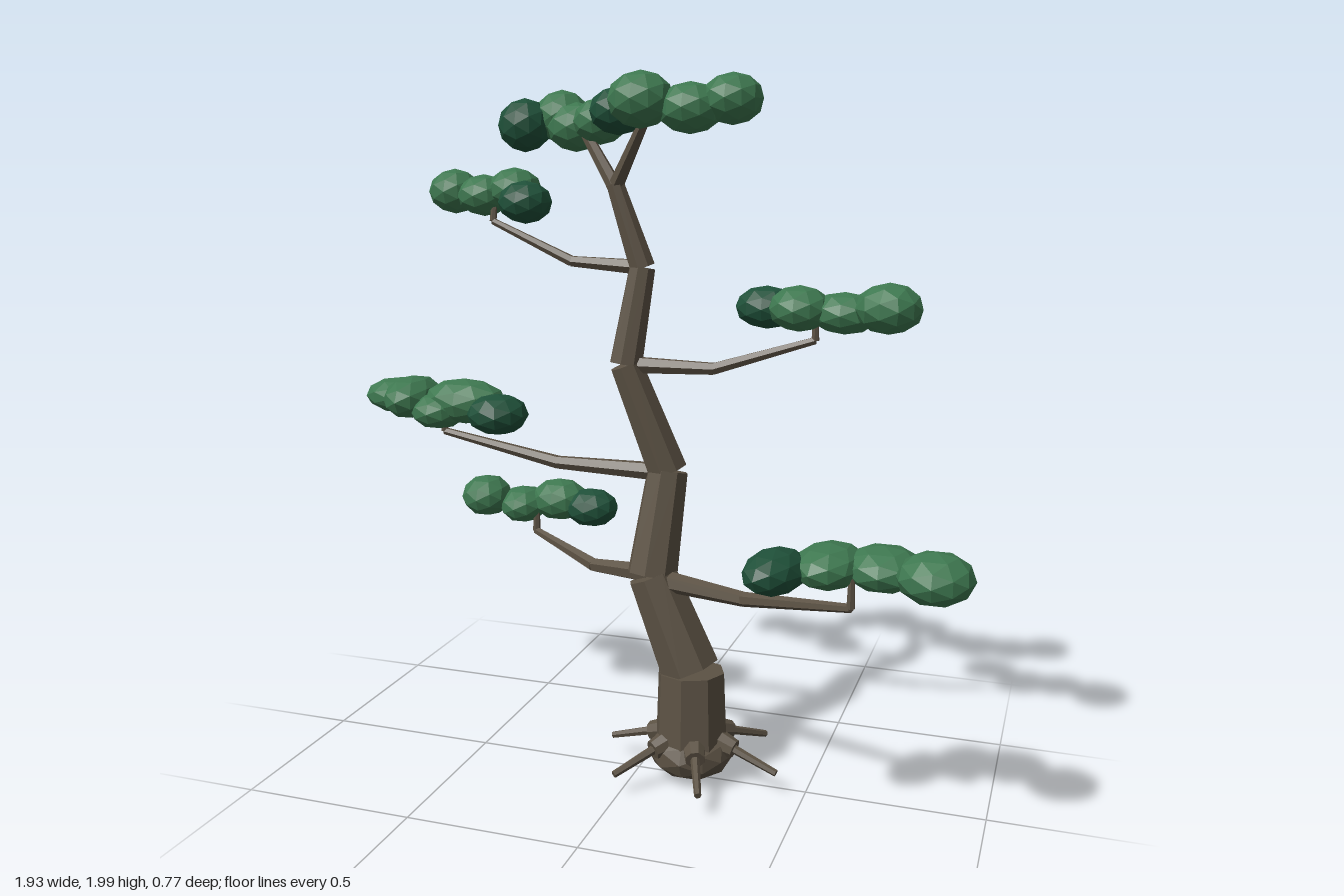
import * as THREE from 'three';

const flat = (name, color) => {
  const m = new THREE.MeshStandardMaterial({ color, flatShading: true });
  m.name = name;
  return m;
};

export function createModel() {
  const bark = flat('bark', 0x5c5244);
  const leaf = flat('leaf green', 0x3e7850);
  const darkLeaf = flat('dark leaf green', 0x1f5039);
  const tree = new THREE.Group();
  tree.name = 'tree';

  // Closed tapered cylinder between two points
  const limb = (parent, name, a, b, r0, r1, sides = 6) => {
    const p = new THREE.Vector3(...a), q = new THREE.Vector3(...b);
    const dir = q.clone().sub(p);
    const mesh = new THREE.Mesh(new THREE.CylinderGeometry(r1, r0, dir.length(), sides), bark);
    mesh.position.copy(p).add(q).multiplyScalar(0.5);
    mesh.quaternion.setFromUnitVectors(new THREE.Vector3(0, 1, 0), dir.normalize());
    mesh.name = name;
    parent.add(mesh);
  };

  // Chain of limbs through [x, y, z, radius] points
  const chain = (name, pts, sides) => {
    const g = new THREE.Group();
    g.name = name;
    for (let i = 0; i < pts.length - 1; i++) {
      limb(g, name + 'Segment', pts[i].slice(0, 3), pts[i + 1].slice(0, 3), pts[i][3], pts[i + 1][3], sides);
    }
    tree.add(g);
  };

  // Faceted, squashed ball
  const blob = (parent, name, material, [x, y, z, rx, ry, rz, yaw = 0]) => {
    const mesh = new THREE.Mesh(new THREE.IcosahedronGeometry(1, 1), material);
    mesh.position.set(x, y, z);
    mesh.scale.set(rx, ry, rz);
    mesh.rotation.y = yaw;
    mesh.name = name;
    parent.add(mesh);
  };

  // Trunk
  limb(tree, 'trunkBase', [0.16, 0.06, 0], [0.155, 0.325, -0.01], 0.108, 0.098, 8);
  chain('trunk', [
    [0.15, 0.33, -0.012, 0.09], [0.035, 0.6, -0.015, 0.074], [0.06, 0.895, -0.075, 0.06],
    [-0.055, 1.2, -0.045, 0.048], [-0.02, 1.47, -0.085, 0.038], [-0.095, 1.7, -0.07, 0.026],
  ], 8);
  chain('leftFork', [[-0.095, 1.69, -0.07, 0.022], [-0.21, 1.85, -0.125, 0.015]]);
  chain('rightFork', [[-0.095, 1.69, -0.07, 0.022], [0.005, 1.86, -0.015, 0.015]]);

  // Root crown and roots
  blob(tree, 'rootCrown', bark, [0.16, 0.085, -0.005, 0.125, 0.08, 0.125]);
  for (let i = 0; i < 6; i++) {
    const a = (10 + i * 60) * Math.PI / 180;
    const at = (r, y) => [0.16 + Math.cos(a) * r, y, -0.01 + Math.sin(a) * r];
    limb(tree, 'rootKnee', at(0.05, 0.135), at(0.135, 0.11), 0.04, 0.028, 8);
    limb(tree, 'root', at(0.1, 0.122), at(0.265, 0.067), 0.014, 0.01);
  }

  // Branches, each ending in a short twig
  chain('lowerRightBranch', [[0.03, 0.6, -0.02, 0.03], [-0.18, 0.577, -0.11, 0.021], [-0.43, 0.62, -0.26, 0.012], [-0.43, 0.69, -0.265, 0.009]]);
  chain('lowerLeftBranch', [[0.04, 0.59, -0.01, 0.032], [0.33, 0.59, 0.085, 0.021], [0.65, 0.65, 0.235, 0.012], [0.65, 0.73, 0.235, 0.009]]);
  chain('middleRightBranch', [[0.06, 0.89, -0.07, 0.028], [-0.28, 0.892, -0.08, 0.02], [-0.65, 0.96, -0.085, 0.011], [-0.65, 1.03, -0.085, 0.009]]);
  chain('upperLeftBranch', [[-0.05, 1.2, -0.045, 0.026], [0.2, 1.2, -0.05, 0.018], [0.48, 1.29, -0.06, 0.011], [0.48, 1.36, -0.06, 0.008]]);
  chain('upperRightBranch', [[-0.02, 1.47, -0.085, 0.023], [-0.23, 1.482, -0.08, 0.016], [-0.475, 1.59, -0.085, 0.01], [-0.475, 1.66, -0.1, 0.008]]);

  // Foliage pads: the first ball of each is dark
  const pads = {
    lowerRightPad: [
      [-0.26, 0.7, -0.3, 0.085, 0.06, 0.075], [-0.37, 0.715, -0.31, 0.09, 0.066, 0.08],
      [-0.485, 0.695, -0.29, 0.075, 0.057, 0.085], [-0.6, 0.72, -0.265, 0.078, 0.065, 0.085]],
    lowerLeftPad: [
      [0.46, 0.74, 0.27, 0.075, 0.06, 0.115, -0.3], [0.585, 0.745, 0.19, 0.09, 0.06, 0.12, -0.3],
      [0.72, 0.745, 0.17, 0.105, 0.06, 0.105], [0.86, 0.755, 0.245, 0.1, 0.068, 0.1]],
    middleRightPad: [
      [-0.425, 1.045, 0.02, 0.09, 0.06, 0.085, 0.3], [-0.57, 1.06, -0.065, 0.13, 0.068, 0.085],
      [-0.65, 1.03, -0.05, 0.085, 0.055, 0.085], [-0.75, 1.06, -0.08, 0.08, 0.065, 0.12],
      [-0.85, 1.04, -0.195, 0.12, 0.056, 0.09]],
    upperLeftPad: [
      [0.325, 1.365, -0.145, 0.09, 0.06, 0.075], [0.435, 1.375, -0.06, 0.085, 0.063, 0.09],
      [0.555, 1.365, -0.075, 0.095, 0.057, 0.08], [0.68, 1.388, -0.02, 0.09, 0.068, 0.095, 0.4]],
    upperRightPad: [
      [-0.345, 1.648, -0.02, 0.077, 0.06, 0.075], [-0.425, 1.68, -0.13, 0.078, 0.062, 0.08],
      [-0.52, 1.662, -0.125, 0.08, 0.06, 0.08], [-0.62, 1.672, -0.14, 0.076, 0.065, 0.08]],
    topRightPad: [
      [-0.4, 1.86, -0.155, 0.078, 0.076, 0.078], [-0.305, 1.885, -0.205, 0.08, 0.075, 0.085],
      [-0.25, 1.855, -0.175, 0.085, 0.07, 0.08], [-0.16, 1.87, -0.13, 0.078, 0.065, 0.075]],
    topLeftPad: [
      [-0.065, 1.895, -0.015, 0.08, 0.065, 0.08], [0.015, 1.922, 0.035, 0.09, 0.076, 0.09],
      [0.145, 1.9, 0.01, 0.09, 0.068, 0.085], [0.255, 1.923, -0.01, 0.083, 0.068, 0.09]],
  };
  for (const [name, balls] of Object.entries(pads)) {
    const pad = new THREE.Group();
    pad.name = name;
    balls.forEach((b, i) => blob(pad, 'foliage', i ? leaf : darkLeaf, b));
    tree.add(pad);
  }
  return tree;
}
